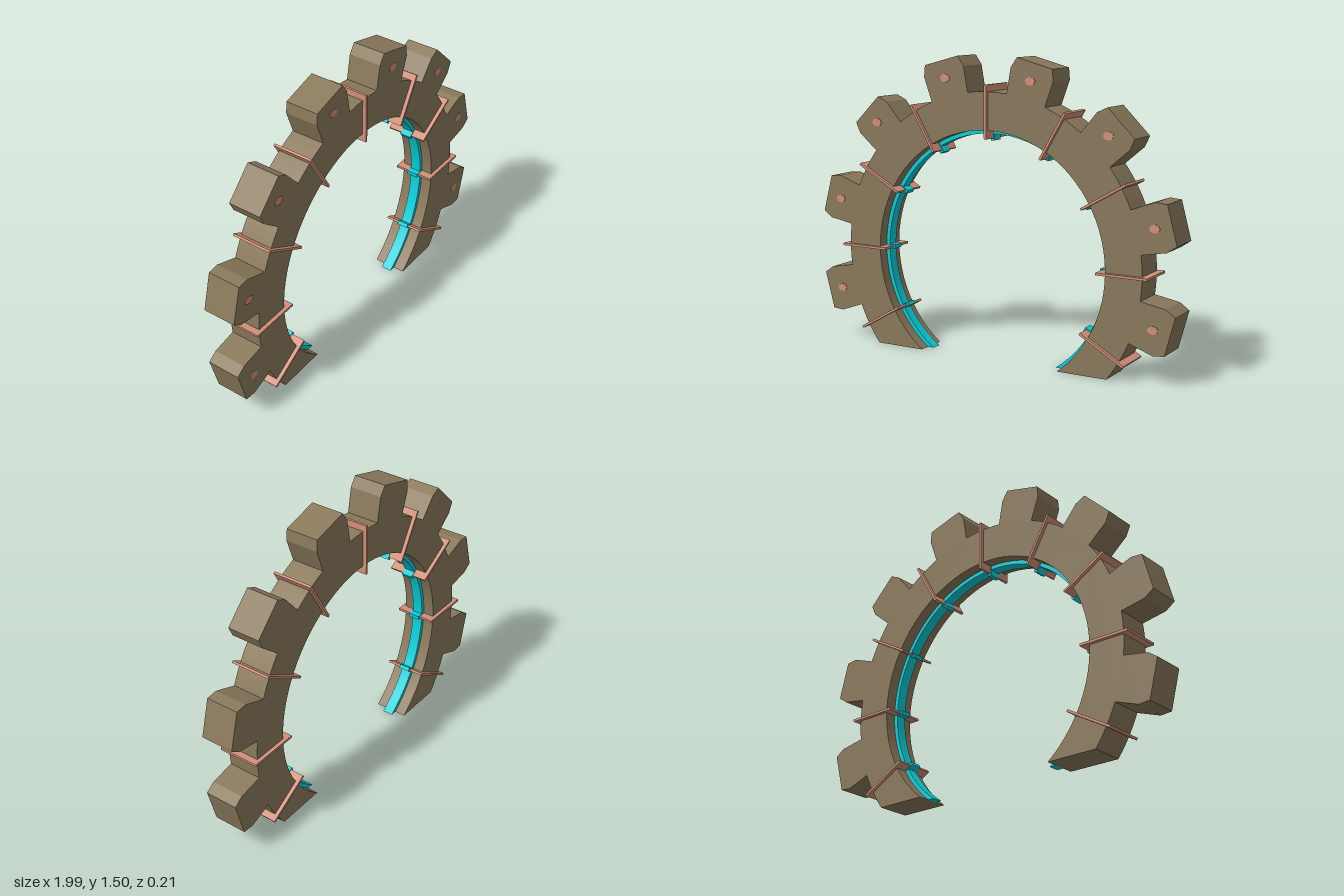
import * as THREE from 'three';
import { toCreasedNormals } from 'three/addons/utils/BufferGeometryUtils.js';

const CY = 0.508;          // height of the ring centre
const R_IN = 0.64, R_OUT = 0.828;
const rad = THREE.MathUtils.degToRad;

const stone = new THREE.MeshStandardMaterial({ color: 0x8a795c });
stone.name = 'stone';
const copper = new THREE.MeshStandardMaterial({ color: 0xd09079 });
copper.name = 'copper';
const glow = new THREE.MeshStandardMaterial({ color: 0x0fccd6 });
glow.name = 'cyanGlow';

const TEETH = [-15, 15, 45, 75, 105, 135, 165, 195];
const RIBS = [-30, 0, 30, 60, 90, 120, 150, 180, 210];

// Angle at which a circle of radius r meets the ground
const groundAngle = (r) => Math.asin(-CY / r);

// Points along an arc about the ring centre
function arc(r, a0, a1, n) {
  return Array.from({ length: n + 1 }, (_, i) => {
    const a = a0 + ((a1 - a0) * i) / n;
    return new THREE.Vector2(r * Math.cos(a), CY + r * Math.sin(a));
  });
}

// Point given by radial and tangential distance at an angle
function polar(a, r, t) {
  return new THREE.Vector2(
    r * Math.cos(a) - t * Math.sin(a), CY + r * Math.sin(a) + t * Math.cos(a));
}

function extrude(points, halfDepth) {
  const geo = new THREE.ExtrudeGeometry(new THREE.Shape(points),
    { depth: halfDepth * 2, bevelEnabled: false });
  geo.translate(0, 0, -halfDepth);
  return toCreasedNormals(geo, 0.2);
}

export function createModel() {
  const group = new THREE.Group();
  const add = (name, geo, mat, parent = group) => {
    const mesh = new THREE.Mesh(geo, mat);
    mesh.name = name;
    parent.add(mesh);
    return mesh;
  };

  // Arch body with its blocky teeth, cut flat at the ground
  const tooth = [[0.819, -0.107], [0.95, -0.118], [1.005, -0.098],
    [1.005, 0.098], [0.95, 0.118], [0.819, 0.107]];
  const half = Math.atan2(0.107, 0.819);
  const outline = [];
  let from = groundAngle(R_OUT);
  for (const deg of TEETH) {
    const a = rad(deg);
    outline.push(...arc(R_OUT, from, a - half, 6));
    outline.push(...tooth.map(([r, t]) => polar(a, r, t)));
    from = a + half;
  }
  outline.push(...arc(R_OUT, from, Math.PI - groundAngle(R_OUT), 6));
  const inner = groundAngle(R_IN);
  outline.push(...arc(R_IN, Math.PI - inner, inner, 64));
  add('archBody', extrude(outline, 0.086), stone);

  // Glowing strip lining the inside of the arch
  const r0 = 0.62, r1 = 0.645;
  const g0 = groundAngle(r0), g1 = groundAngle(r1);
  add('innerStrip', extrude([
    ...arc(r1, g1, Math.PI - g1, 64),
    ...arc(r0, Math.PI - g0, g0, 64),
  ], 0.028), glow);

  // Radial copper ribs, each with a glowing clip at its inner end
  for (const deg of RIBS) {
    const rib = new THREE.Group();
    rib.name = 'rib';
    rib.position.y = CY;
    rib.rotation.z = rad(deg);
    group.add(rib);
    add('ribPlate', new THREE.BoxGeometry(0.264, 0.012, 0.21), copper, rib).position.x = 0.73;
    add('ribClip', new THREE.BoxGeometry(0.055, 0.02, 0.06), glow, rib).position.x = 0.6145;
  }

  // Small copper studs on the front of the teeth
  for (const deg of TEETH) {
    const p = polar(rad(deg), 0.917, 0);
    const geo = new THREE.CylinderGeometry(0.028, 0.028, 0.006, 8);
    geo.rotateX(Math.PI / 2);
    geo.scale(1, 0.75, 1);
    add('toothStud', geo, copper).position.set(p.x, p.y, 0.086);
  }
  return group;
}
